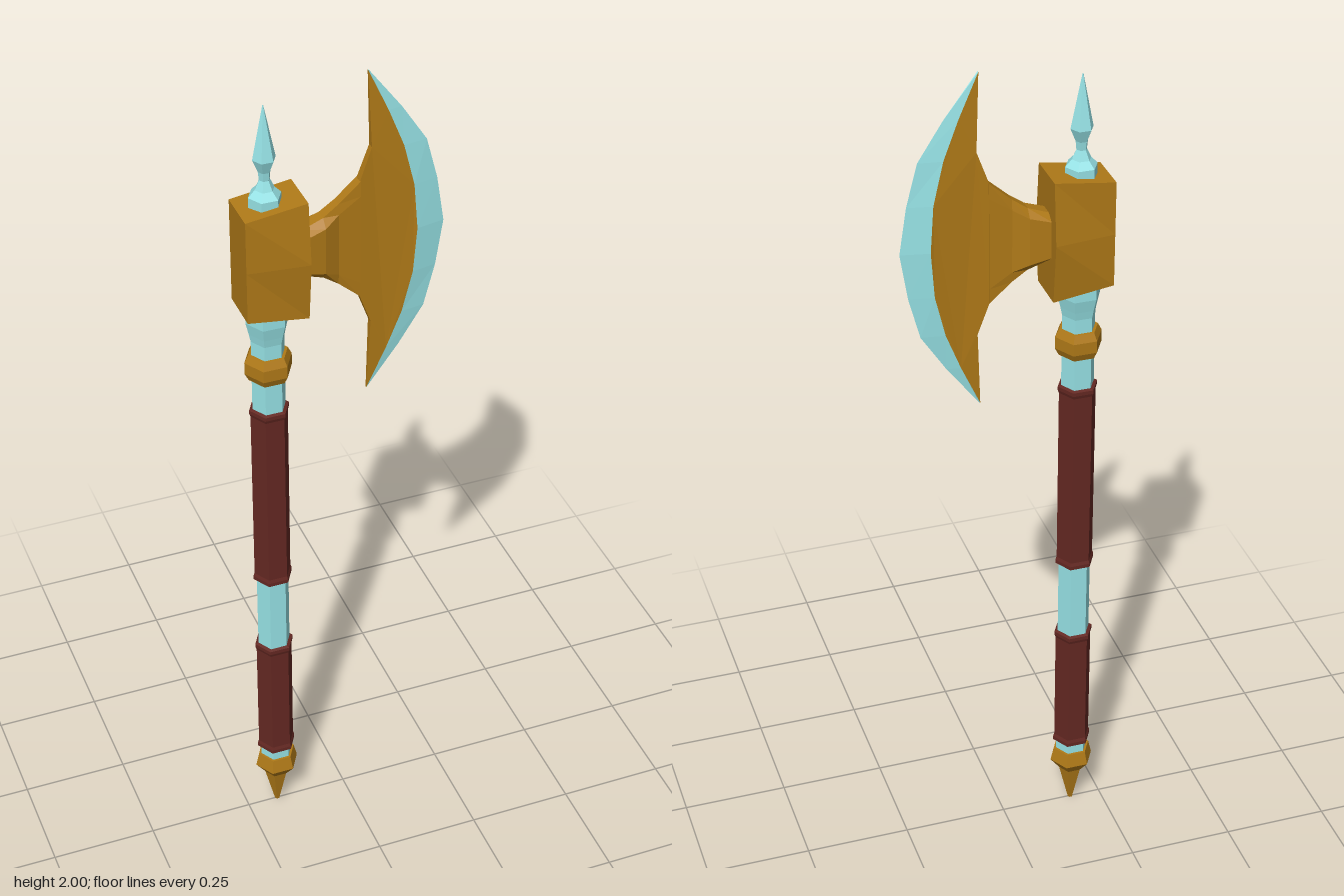
import * as THREE from 'three';

const SHAFT_X = -0.175, HEAD_Y = 1.6;
const material = (color) => new THREE.MeshStandardMaterial({ color, flatShading: true });
const steel = material(0x97e3e6), gold = material(0xb07a18), leather = material(0x642822);

// Closed faceted solid through a series of matching rings of [x, y, z] points
function loft(rings) {
  const n = rings[0].length, v = [];
  const tri = (a, b, c) => v.push(...a, ...b, ...c);
  for (let i = 0; i < rings.length - 1; i++) {
    for (let j = 0; j < n; j++) {
      const k = (j + 1) % n, p = rings[i], q = rings[i + 1];
      tri(p[j], p[k], q[k]);
      tri(p[j], q[k], q[j]);
    }
  }
  const first = rings[0], last = rings[rings.length - 1];
  for (let j = 1; j < n - 1; j++) {
    tri(first[0], first[j + 1], first[j]);
    tri(last[0], last[j], last[j + 1]);
  }
  const g = new THREE.BufferGeometry();
  g.setAttribute('position', new THREE.Float32BufferAttribute(v, 3));
  g.computeVertexNormals();
  return g;
}

export function createModel() {
  const group = new THREE.Group();
  const add = (name, geometry, mat) => {
    const mesh = new THREE.Mesh(geometry, mat);
    mesh.name = name;
    group.add(mesh);
    return mesh;
  };
  // Six-sided turned part on the shaft axis; profile of [radius, y] from the bottom up
  const turned = (name, profile, mat) => {
    const pts = profile.map(([r, y]) => new THREE.Vector2(r, y));
    add(name, new THREE.LatheGeometry(pts, 6, Math.PI / 2), mat).position.x = SHAFT_X;
  };

  // Handle
  turned('pommel', [[0, 0], [0.006, 0], [0.03, 0.1], [0.053, 0.13], [0.045, 0.165], [0, 0.165]], gold);
  turned('shaft', [[0.039, 0.15], [0.039, 1.39], [0.043, 1.41], [0.05, 1.44], [0.05, 1.5]], steel);
  for (const [name, y0, y1] of [['lowerGrip', 0.19, 0.525], ['upperGrip', 0.72, 1.21]]) {
    turned(name, [[0.038, y0], [0.047, y0 + 0.003], [0.047, y0 + 0.012], [0.044, y0 + 0.02],
      [0.044, y1 - 0.02], [0.047, y1 - 0.012], [0.047, y1 - 0.003], [0.038, y1]], leather);
  }
  turned('collar', [[0.038, 1.29], [0.046, 1.29], [0.055, 1.308], [0.055, 1.337], [0.046, 1.355], [0.038, 1.355]], gold);
  turned('topSpike', [[0.037, 1.7], [0.037, 1.752], [0.022, 1.768], [0.012, 1.79],
    [0.014, 1.81], [0.026, 1.84], [0.001, 1.965]], steel);

  // Socket block, bulging toward the blade: x, half height, edge z, middle z
  const socket = [[-0.237, 0.125, 0.052, 0.052], [-0.097, 0.144, 0.053, 0.068]];
  add('headSocket', loft(socket.map(([x, h, z, m]) => [
    [x, HEAD_Y + h, -z], [x, HEAD_Y + h, z], [x, HEAD_Y, m],
    [x, HEAD_Y - h, z], [x, HEAD_Y - h, -z], [x, HEAD_Y, -m],
  ])), gold);

  // Bevelled neck between socket and blade: x, half height, half thickness
  const neck = [[-0.1, 0.057, 0.036], [-0.05, 0.075, 0.03], [-0.015, 0.1, 0.015], [0.036, 0.145, 0.013]];
  add('bladeNeck', loft(neck.map(([x, h, z]) => {
    const e = Math.max(z * 0.45, 0.012), s = h * 0.75;
    return [[h, -e], [h, e], [s, z], [-s, z], [-h, e], [-h, -e], [-s, -z], [s, -z]]
      .map(([y, zz]) => [x, HEAD_Y + y, zz]);
  })), gold);

  // Blade stations from the middle outward: height above the middle, inner x, cutting edge x
  const half = [[0, 0.167, 0.233], [0.11, 0.159, 0.216], [0.21, 0.135, 0.19], [0.3, 0.1, 0.132], [0.4, 0.055, 0.057]];
  const stations = [...half.slice(1).reverse().map(([y, a, b]) => [-y, a, b]), ...half];
  const thickness = (dy) => 0.013 - 0.011 * (Math.abs(dy) / 0.4) ** 1.3;

  // Crescent plate, thinning toward the horns
  const outline = [...stations.map(([y, x]) => [x, y]),
    [0.062, 0.22], [0.035, 0.145], [0.035, -0.145], [0.062, -0.22]];
  const plate = new THREE.ExtrudeGeometry(
    new THREE.Shape(outline.map(([x, y]) => new THREE.Vector2(x, y))), { depth: 2, bevelEnabled: false });
  plate.translate(0, 0, -1);
  const pos = plate.attributes.position;
  for (let i = 0; i < pos.count; i++) pos.setZ(i, pos.getZ(i) * thickness(pos.getY(i)));
  plate.translate(0, HEAD_Y, 0);
  plate.computeVertexNormals();
  add('bladePlate', plate, gold);

  // Sharpened edge
  add('cuttingEdge', loft(stations.map(([y, a, b]) => {
    const z = thickness(y);
    return [[a, HEAD_Y + y, z], [b, HEAD_Y + y, 0], [a, HEAD_Y + y, -z]];
  })), steel);

  return group;
}
